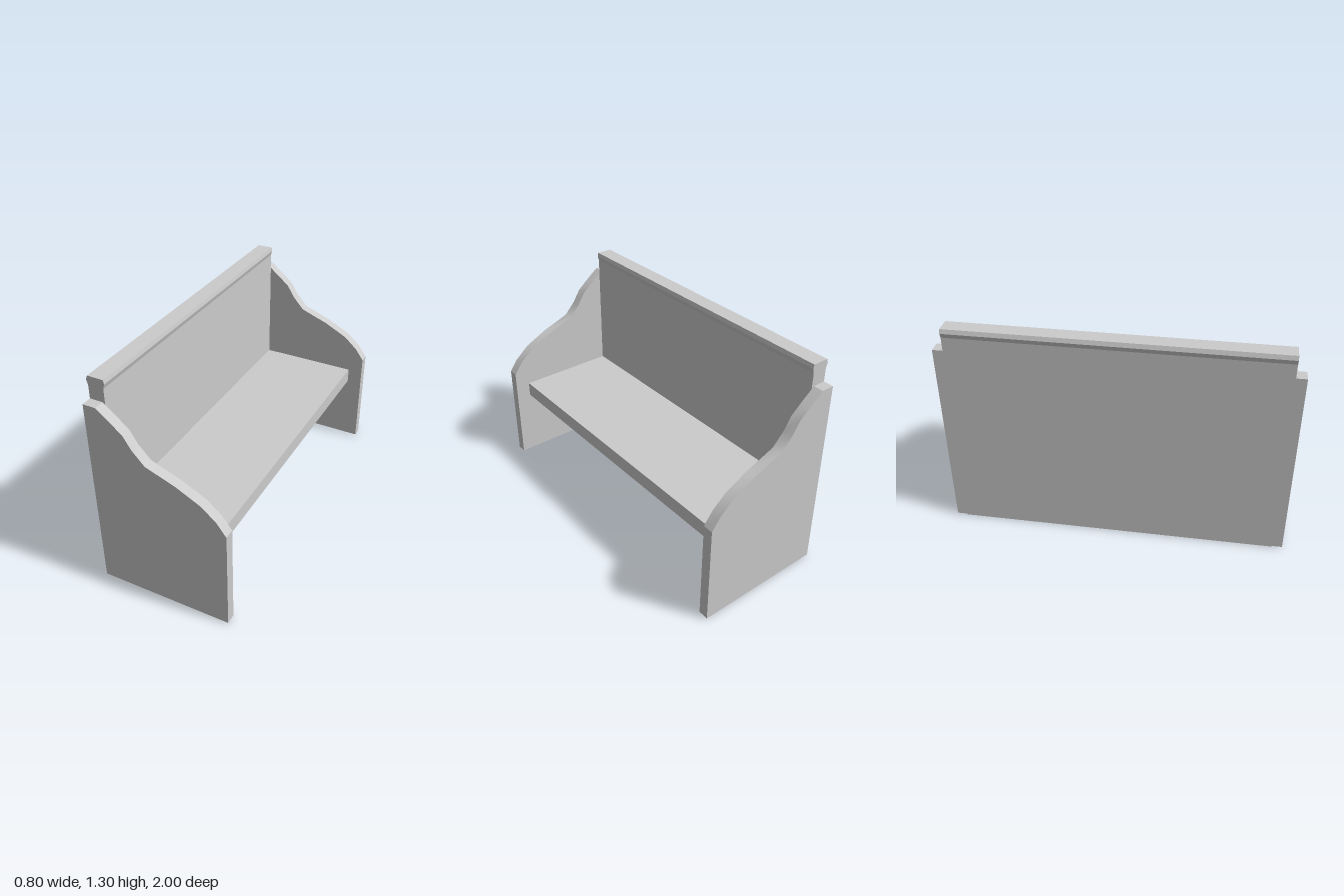
import * as THREE from 'three';
import { toCreasedNormals } from 'three/addons/utils/BufferGeometryUtils.js';

const material = new THREE.MeshStandardMaterial({ color: 0xcccccc });
const INNER = 0.94; // half the length between the end panels

// Extrudes an x-y outline along z between z0 and z1
function slab(name, points, z0, z1, crease) {
  const shape = new THREE.Shape(points.map(([x, y]) => new THREE.Vector2(x, y)));
  const geometry = new THREE.ExtrudeGeometry(shape, { depth: z1 - z0, bevelEnabled: false });
  geometry.translate(0, 0, z0);
  const mesh = new THREE.Mesh(toCreasedNormals(geometry, crease), material);
  mesh.name = name;
  return mesh;
}

export function createModel() {
  const bench = new THREE.Group();
  bench.name = 'bench';

  // End panels with a curved arm line
  const panel = [
    [-0.393, 0.006], [0.398, 0.006], [0.398, 0.625], [0.345, 0.697],
    [0.26, 0.77], [0.12, 0.84], [-0.055, 0.905], [-0.125, 0.98],
    [-0.17, 1.052], [-0.235, 1.107], [-0.318, 1.172], [-0.393, 1.172],
  ];
  bench.add(slab('leftEndPanel', panel, -1, -INNER, 0.55));
  bench.add(slab('rightEndPanel', panel, INNER, 1, 0.55));

  // Backrest board with a flared top rail
  const back = [
    [-0.393, 0], [-0.302, 0], [-0.302, 1.253], [-0.294, 1.28], [-0.299, 1.304],
    [-0.393, 1.304], [-0.402, 1.28], [-0.393, 1.253],
  ];
  bench.add(slab('backrest', back, -INNER, INNER, 0.1));

  // Seat board
  const seat = [[-0.302, 0.435], [0.306, 0.435], [0.306, 0.526], [-0.302, 0.526]];
  bench.add(slab('seat', seat, -INNER, INNER, 0.1));

  return bench;
}
